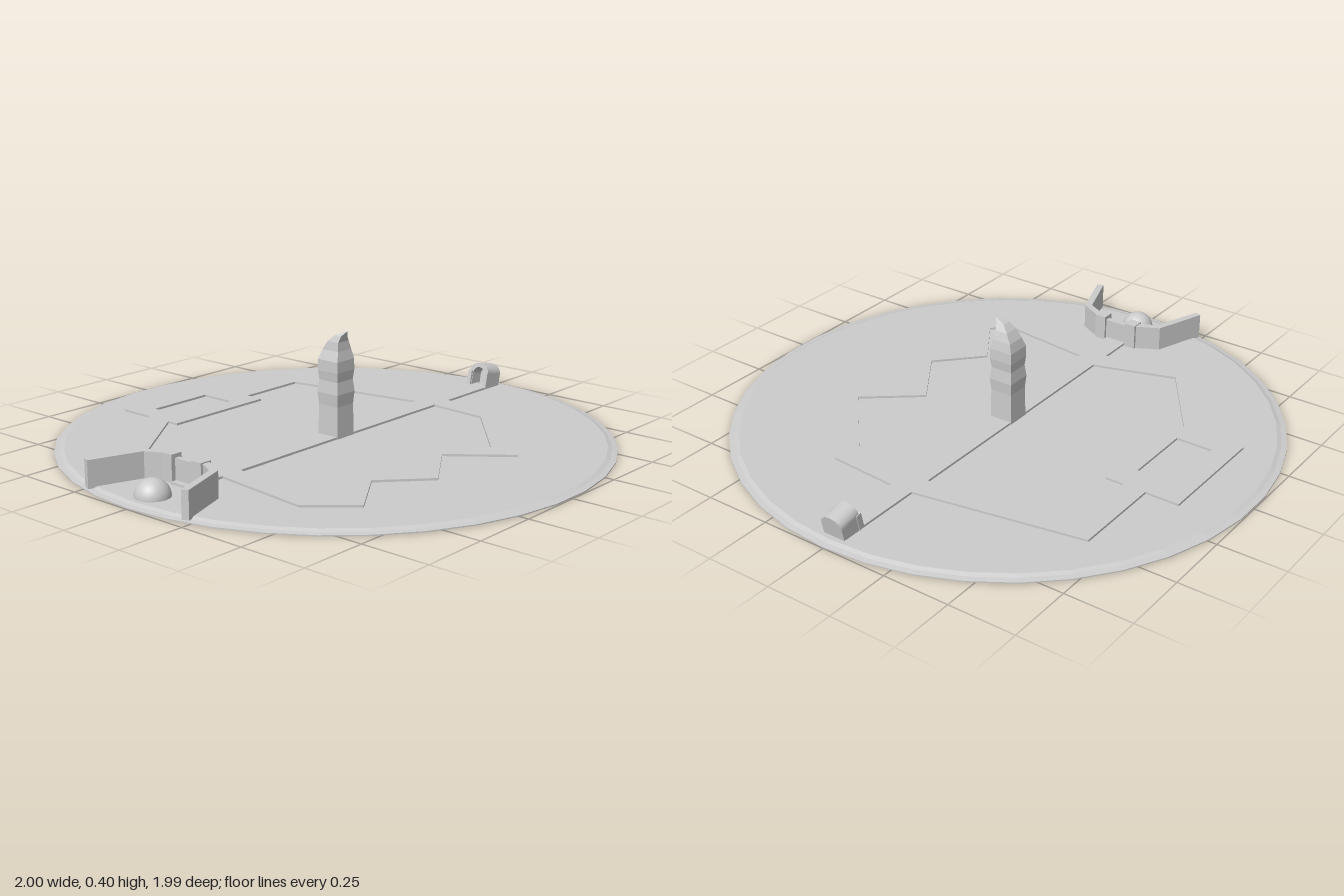
import * as THREE from 'three';

const mat = new THREE.MeshStandardMaterial({ color: 0xcccccc, flatShading: true, side: THREE.DoubleSide });
const smooth = new THREE.MeshStandardMaterial({ color: 0xcccccc });
const SIDES = 38;
const FLOOR = 0.013; // top of the disc
const PATH_TOP = 0.021; // top of the raised paths

function add(parent, name, geometry, material = mat) {
  const mesh = new THREE.Mesh(geometry, material);
  mesh.name = name;
  parent.add(mesh);
  return mesh;
}

// Shift a polyline sideways by d, mitred at the corners
function offset(points, d) {
  const p = points.map(([x, z]) => new THREE.Vector2(x, z));
  const normal = (a, b) => {
    const v = b.clone().sub(a).normalize();
    return new THREE.Vector2(-v.y, v.x);
  };
  return p.map((q, i) => {
    const n0 = normal(p[Math.max(i - 1, 0)], p[Math.max(i, 1)]);
    const last = p.length - 1;
    const n1 = normal(p[Math.min(i, last - 1)], p[Math.min(i + 1, last)]);
    const m = n0.clone().add(n1).normalize();
    return q.clone().addScaledVector(m, d / Math.max(m.dot(n0), 0.4));
  });
}

// Extrude a plan shape (x, z) upward from y0 to y1
function raise(shape, y0, y1) {
  const g = new THREE.ExtrudeGeometry(shape, { depth: y1 - y0, bevelEnabled: false });
  return g.rotateX(Math.PI / 2).translate(0, y1, 0);
}

function strip(points, width, y0, y1) {
  const outline = [...offset(points, width / 2), ...offset(points, -width / 2).reverse()];
  return raise(new THREE.Shape(outline), y0, y1);
}

function rectangle(Type, x0, z0, x1, z1) {
  return new Type([[x0, z0], [x1, z0], [x1, z1], [x0, z1]].map(([x, z]) => new THREE.Vector2(x, z)));
}

// Loft four-cornered sections [y, x0, x1, z0, z1]
function squareLoft(sections) {
  const pos = [];
  const idx = [];
  sections.forEach(([y, x0, x1, z0, z1]) => pos.push(x0, y, z1, x1, y, z1, x1, y, z0, x0, y, z0));
  for (let s = 0; s < sections.length - 1; s++) {
    for (let k = 0; k < 4; k++) {
      const a = s * 4 + k, b = s * 4 + (k + 1) % 4;
      idx.push(a, b, b + 4, a, b + 4, a + 4);
    }
  }
  const t = (sections.length - 1) * 4;
  idx.push(0, 2, 1, 0, 3, 2, t, t + 1, t + 2, t, t + 2, t + 3);
  const g = new THREE.BufferGeometry();
  g.setAttribute('position', new THREE.Float32BufferAttribute(pos, 3));
  g.setIndex(idx);
  const flat = g.toNonIndexed();
  flat.computeVertexNormals();
  return flat;
}

function buildDisc(root) {
  const profile = [[0, 0], [1, 0], [1, 0.004], [0.98, 0.007], [0.965, FLOOR], [0, FLOOR]];
  const g = new THREE.LatheGeometry(profile.map(([r, y]) => new THREE.Vector2(r, y)), SIDES);
  // start the facets on the x axis
  add(root, 'baseDisc', g.rotateY(Math.PI / 2));
}

function buildPaths(root) {
  const paths = new THREE.Group();
  paths.name = 'raisedPaths';
  const w = 0.085;
  const lines = {
    centrePath: [[-0.77, 0], [0.9, 0]],
    backLeftPath: [[-0.53, 0], [-0.645, -0.365], [-0.25, -0.645]],
    backRightPath: [[0.1, -0.63], [0.46, -0.63], [0.57, 0]],
    zigzagPath: [[-0.57, 0], [-0.62, 0.41], [-0.525, 0.52], [-0.325, 0.385], [-0.165, 0.535],
      [0.055, 0.385], [0.215, 0.585], [0.55, 0.29], [0.57, 0]],
  };
  for (const [name, pts] of Object.entries(lines)) add(paths, name, strip(pts, w, 0.005, PATH_TOP));
  // rectangular ring on the back path
  const ring = rectangle(THREE.Shape, -0.295, -0.8, 0.15, -0.515);
  ring.holes.push(rectangle(THREE.Path, -0.215, -0.72, 0.05, -0.58));
  add(paths, 'ringPath', raise(ring, 0.005, PATH_TOP));
  root.add(paths);
}

function buildPillar(root) {
  add(root, 'centrePillar', squareLoft([
    [0.01, -0.045, 0.045, -0.045, 0.045],
    [0.13, -0.043, 0.043, -0.043, 0.043],
    [0.175, -0.047, 0.047, -0.047, 0.047],
    [0.22, -0.042, 0.042, -0.042, 0.042],
    [0.255, -0.046, 0.046, -0.046, 0.046],
    [0.295, -0.046, 0.045, -0.045, 0.046],
    [0.33, -0.033, 0.038, -0.035, 0.038],
    [0.362, -0.029, 0.027, -0.014, 0.035],
    [0.385, -0.02, 0.013, 0.01, 0.041],
    [0.4, -0.001, 0.003, 0.047, 0.051],
  ]));
}

function buildGate(root) {
  const gate = new THREE.Group();
  gate.name = 'gate';
  for (const s of [1, -1]) {
    const line = [[-0.965, 0.23 * s], [-0.775, 0.163 * s], [-0.735, 0.085 * s]];
    add(gate, 'gateWall', strip(line, 0.026, 0.008, 0.106));
    const post = add(gate, 'gatePost', new THREE.BoxGeometry(0.046, 0.102, 0.044));
    post.position.set(-0.738, 0.059, 0.068 * s);
  }
  const door = add(gate, 'gateDoor', new THREE.BoxGeometry(0.02, 0.088, 0.1));
  door.position.set(-0.735, 0.052, 0);
  const dome = add(gate, 'dome',
    new THREE.SphereGeometry(0.061, 24, 12, 0, Math.PI * 2, 0, Math.PI / 2), smooth);
  dome.position.set(-0.888, FLOOR, 0);
  root.add(gate);
}

// Arched outline standing on y = 0
function arch(Type, half, spring, top) {
  const p = new Type();
  p.moveTo(-half, 0);
  p.lineTo(half, 0);
  p.lineTo(half, spring);
  p.absellipse(0, spring, half, top - spring, 0, Math.PI, false);
  p.lineTo(-half, 0);
  return p;
}

function buildShrine(root) {
  const shrine = new THREE.Group();
  shrine.name = 'shrine';
  const extrude = (shape, depth, x) => new THREE.ExtrudeGeometry(shape,
    { depth, bevelEnabled: false, curveSegments: 8 }).rotateY(Math.PI / 2).translate(x, 0, 0);
  const hood = arch(THREE.Shape, 0.043, 0.06, 0.095);
  hood.holes.push(arch(THREE.Path, 0.028, 0.05, 0.076).translateHole?.() ?? raisedHole());
  add(shrine, 'hood', extrude(hood, 0.055, 0.006));
  add(shrine, 'backWall', extrude(arch(THREE.Shape, 0.043, 0.06, 0.095), 0.03, 0.061));
  for (const s of [1, -1]) {
    const post = add(shrine, 'sidePost', new THREE.BoxGeometry(0.022, 0.06, 0.016));
    post.position.set(0.009, 0.03, 0.038 * s);
  }
  shrine.position.set(0.853, 0.018, 0);
  shrine.rotation.z = -0.21;
  root.add(shrine);
}

// Arched opening kept just above the hood's foot
function raisedHole() {
  const pts = arch(THREE.Shape, 0.028, 0.045, 0.074).getPoints(8);
  return new THREE.Path(pts.map((p) => new THREE.Vector2(p.x, p.y + 0.004)));
}

export function createModel() {
  const root = new THREE.Group();
  root.name = 'arenaBoard';
  buildDisc(root);
  buildPaths(root);
  buildPillar(root);
  buildGate(root);
  buildShrine(root);
  return root;
}
